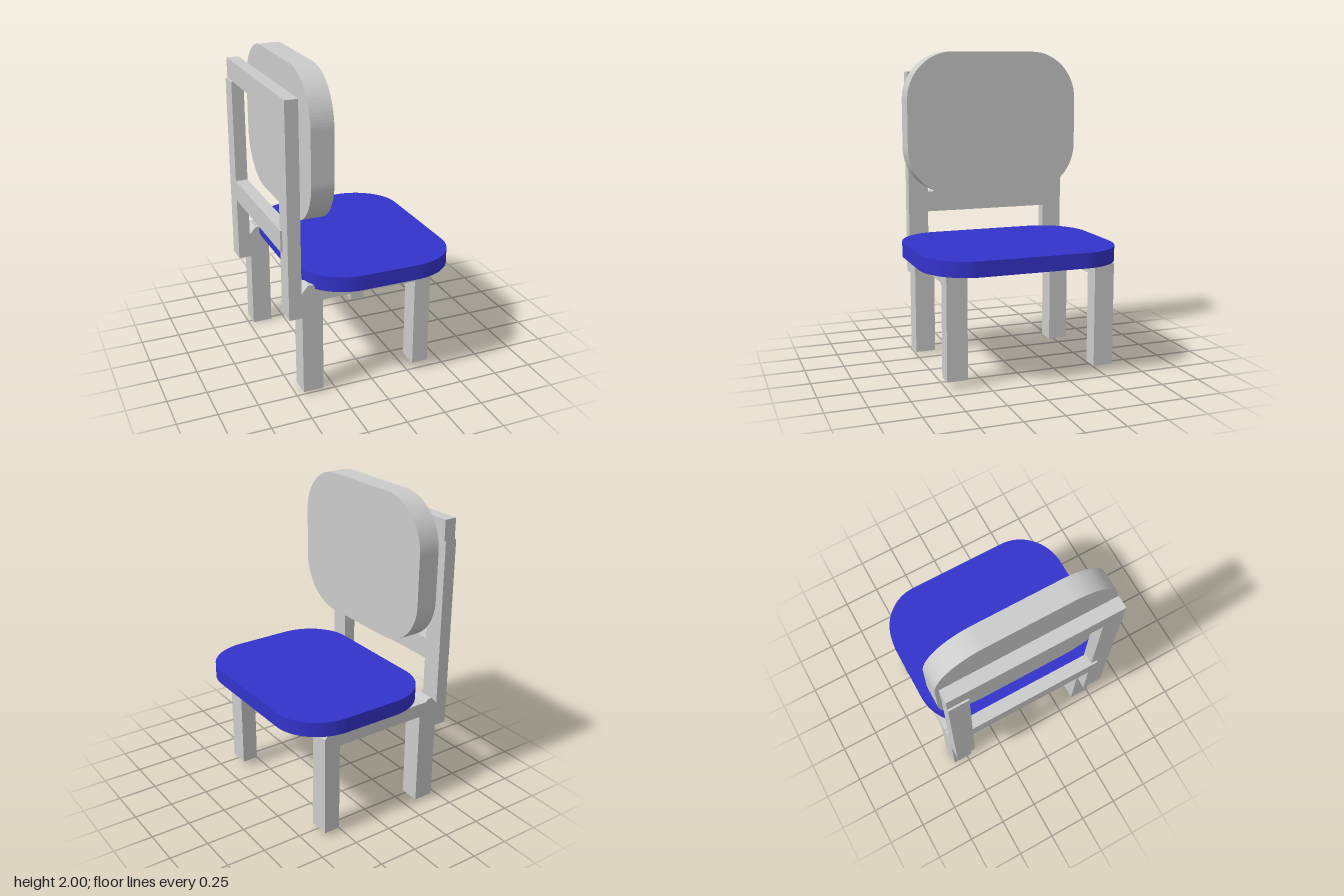
import * as THREE from 'three';

const grey = new THREE.MeshStandardMaterial({ color: 0xcccccc });
const blue = new THREE.MeshStandardMaterial({ color: 0x3333cc });

// Rectangle with elliptical corners
function roundedRect(x0, x1, y0, y1, rx, ry) {
  const s = new THREE.Shape();
  const q = Math.PI / 2;
  s.moveTo(x0 + rx, y0);
  s.absellipse(x1 - rx, y0 + ry, rx, ry, -q, 0, false);
  s.absellipse(x1 - rx, y1 - ry, rx, ry, 0, q, false);
  s.absellipse(x0 + rx, y1 - ry, rx, ry, q, 2 * q, false);
  s.absellipse(x0 + rx, y0 + ry, rx, ry, 2 * q, 3 * q, false);
  return s;
}

function extrude(shape, depth) {
  return new THREE.ExtrudeGeometry(shape, { depth, bevelEnabled: false, curveSegments: 12 });
}

// Box given by its bounds
function box(name, x0, x1, y0, y1, z0, z1) {
  const mesh = new THREE.Mesh(new THREE.BoxGeometry(x1 - x0, y1 - y0, z1 - z0), grey);
  mesh.position.set((x0 + x1) / 2, (y0 + y1) / 2, (z0 + z1) / 2);
  mesh.name = name;
  return mesh;
}

// Side frame in one piece: back post, two legs and the rail under the seat
function sideFrame(name, postTop, z, dx, dy) {
  const outline = [
    [-0.54, 0.53], [-0.457, 0.53], [-0.457, 0.015], [-0.327, 0.015], [-0.327, 0.63],
    [0.285, 0.63], [0.285, 0.045], [0.39, 0.045], [0.39, 0.7], [0.375, 0.72],
    [-0.375, 0.72], [-0.385, 0.735], [-0.415, 0.74], [-0.435, 0.72], [-0.46, 0.69],
    [-0.46, postTop], [-0.54, postTop],
  ];
  const shape = new THREE.Shape(outline.map(([x, y]) => new THREE.Vector2(x, y)));
  const mesh = new THREE.Mesh(extrude(shape, 0.13), grey);
  mesh.position.set(dx, dy, z);
  mesh.name = name;
  return mesh;
}

export function createModel() {
  const group = new THREE.Group();
  group.name = 'chair';

  // Frames: the second sits slightly lower and further back
  group.add(sideFrame('sideFrameFront', 1.87, 0.37, 0, 0));
  group.add(sideFrame('sideFrameBack', 1.755, -0.6, -0.012, -0.015));

  // Cross rails of the back
  group.add(box('topRail', -0.54, -0.46, 1.74, 1.87, -0.6, 0.45));
  group.add(box('lowerRail', -0.552, -0.472, 0.94, 1.075, -0.55, 0.41));

  // Seat board
  const seat = new THREE.Mesh(extrude(roundedRect(-0.43, 0.55, -0.63, 0.625, 0.31, 0.29), 0.095), blue);
  seat.rotation.x = Math.PI / 2;
  seat.position.y = 0.805;
  seat.name = 'seat';
  group.add(seat);

  // Backrest panel
  const backrest = new THREE.Mesh(extrude(roundedRect(-0.55, 0.61, 1.075, 2, 0.31, 0.31), 0.14), grey);
  backrest.rotation.y = Math.PI / 2;
  backrest.position.x = -0.41;
  backrest.name = 'backrest';
  group.add(backrest);

  return group;
}
